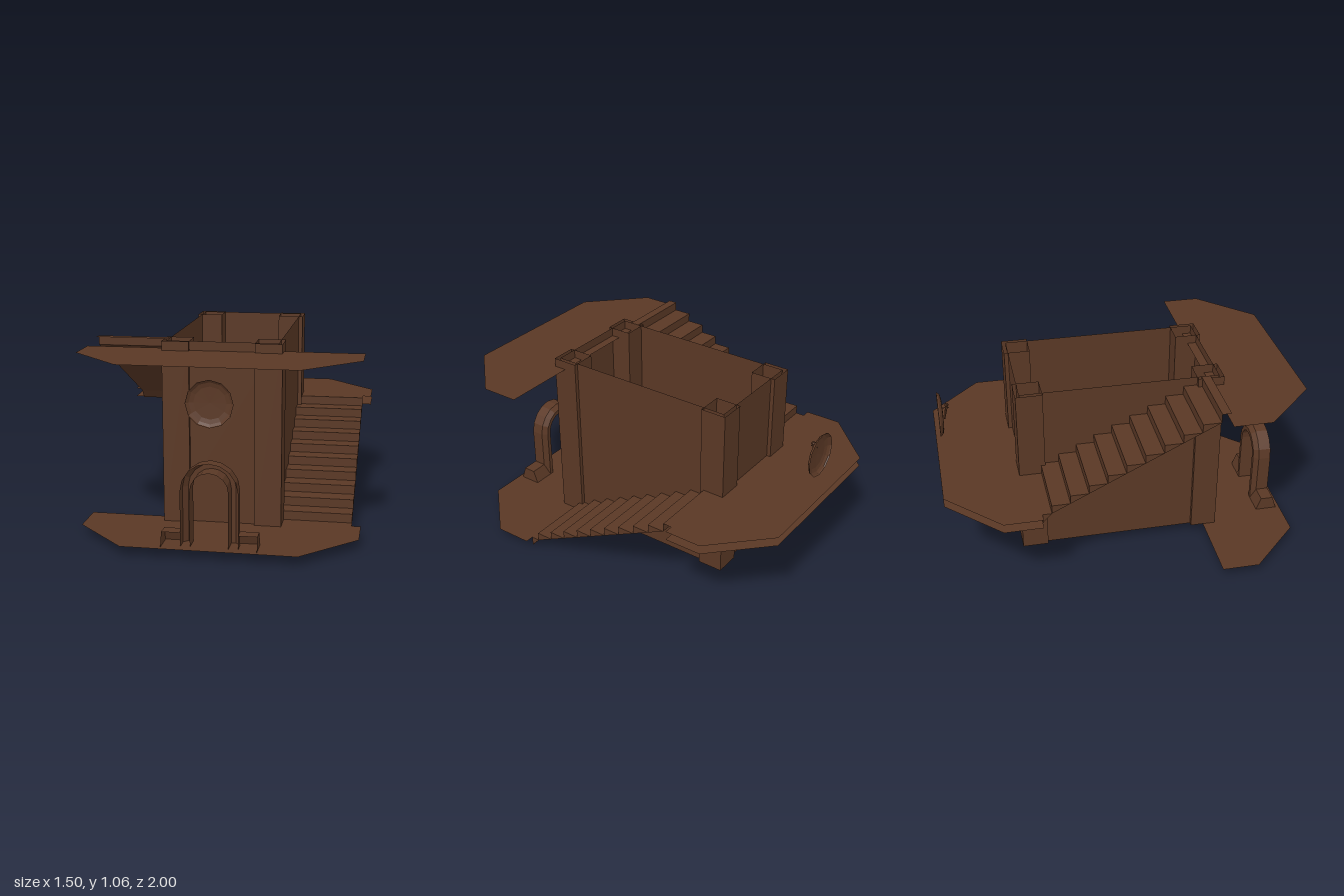
import * as THREE from 'three';
import { mergeGeometries } from 'three/addons/utils/BufferGeometryUtils.js';

const FLOOR = 0.055; // height of the ground landing
const wood = new THREE.MeshStandardMaterial({ color: 0x5a3825, side: THREE.DoubleSide, flatShading: true });
wood.name = 'dark brown wood';

function part(name, geometry, parent) {
  const mesh = new THREE.Mesh(geometry, wood);
  mesh.name = name;
  parent.add(mesh);
  return mesh;
}

// Flat landing with chamfered outer corners; side is 1 at the front, -1 at the back
function landing(y, side) {
  const shape = new THREE.Shape([
    [-0.75, 0.5], [0.75, 0.5], [0.75, 0.71], [0.46, 1], [-0.46, 1], [-0.75, 0.71],
  ].map(([x, z]) => new THREE.Vector2(x, z * -side)));
  return new THREE.ShapeGeometry(shape).rotateX(-Math.PI / 2).translate(0, y, 0);
}

// Flight of wedge-shaped steps, climbing from z = 0.5 to z = -0.5
function flight() {
  const wedges = [[[0.5, 0], [0.5, FLOOR], [0.45, FLOOR]]];
  for (let i = 0; i < 9; i++) {
    const z = 0.45 - i * 0.1, y = FLOOR + i * 0.05;
    wedges.push([[z, y], [z, y + 0.05], [z - 0.1, y + 0.05]]);
  }
  const solids = wedges.map((points) => new THREE.ExtrudeGeometry(
    new THREE.Shape(points.map(([z, y]) => new THREE.Vector2(z, y))),
    { depth: 0.4, bevelEnabled: false },
  ).rotateY(-Math.PI / 2).translate(0.7, 0, 0).deleteAttribute('uv'));
  // Last riser and half tread, open underneath
  const riser = new THREE.PlaneGeometry(0.4, 0.05).translate(0.5, FLOOR + 0.475, -0.45);
  const tread = new THREE.PlaneGeometry(0.4, 0.05).rotateX(-Math.PI / 2).translate(0.5, FLOOR + 0.5, -0.475);
  const ends = [riser, tread].map((g) => g.toNonIndexed().deleteAttribute('uv'));
  return mergeGeometries([...solids, ...ends]);
}

// Hollow arch, open to the front, swept from a cross-section of [radius, z] points
function archGeometry() {
  const section = [[0.15, 0.953], [0.15, 0.882], [0.125, 0.855], [0.1, 0.855], [0.1, 0.953]];
  const spring = 0.353, segments = 8;
  const stations = [[-1, 0, FLOOR]];
  for (let i = 0; i <= segments; i++) {
    const a = Math.PI * (1 - i / segments);
    stations.push([Math.cos(a), Math.sin(a), spring]);
  }
  stations.push([1, 0, FLOOR]);
  const positions = [], index = [], n = section.length;
  stations.forEach(([dx, dy, base], s) => {
    section.forEach(([r, z], k) => {
      positions.push(dx * r, base + dy * r, z);
      if (s && k) {
        const d = s * n + k, c = d - 1, b = d - n, a = b - 1;
        index.push(a, b, c, b, d, c);
      }
    });
  });
  const geometry = new THREE.BufferGeometry();
  geometry.setAttribute('position', new THREE.Float32BufferAttribute(positions, 3));
  geometry.setIndex(index);
  geometry.computeVertexNormals();
  return geometry;
}

// Hollow foot block flaring towards the bottom; only its top, back and outer end are closed
function footGeometry(side) {
  const geometry = new THREE.BoxGeometry(1, 1, 1);
  const p = geometry.attributes.position;
  for (let i = 0; i < p.count; i++) {
    const top = p.getY(i) > 0;
    const outer = p.getX(i) * side > 0;
    const front = p.getZ(i) > 0;
    p.setXYZ(i, side * (outer ? 0.25 : top ? 0.15 : 0.125), top ? 0.13 : FLOOR,
      front ? (top ? 0.953 : 0.978) : (top ? 0.882 : 0.855));
  }
  const all = Array.from(geometry.index.array);
  const kept = [side > 0 ? 0 : 1, 2, 5]; // outer end, top, back
  geometry.setIndex(kept.flatMap((f) => all.slice(f * 6, f * 6 + 6)));
  geometry.clearGroups();
  geometry.computeVertexNormals();
  return geometry;
}

// Round dish with a small torch on its inner side
function sconce(name) {
  const group = new THREE.Group();
  group.name = name;
  const profile = [[0.124, 0], [0.121, -0.008], [0.108, -0.018], [0.085, -0.024], [0.0001, -0.027]]
    .map(([r, y]) => new THREE.Vector2(r, y));
  part('dish', new THREE.LatheGeometry(profile, 12).rotateX(Math.PI / 2), group);
  const bracket = part('torchBracket', new THREE.CylinderGeometry(0.003, 0.003, 0.038, 6), group);
  bracket.rotation.x = Math.PI / 2;
  bracket.position.set(0, 0.04, -0.042);
  const torch = part('torchHandle', new THREE.CylinderGeometry(0.008, 0.003, 0.085, 6), group);
  torch.rotation.x = -0.2;
  torch.position.set(0, 0.009, -0.041);
  part('torchHead', new THREE.SphereGeometry(0.012, 6, 4), group).position.set(0, 0.057, -0.05);
  group.position.y = 0.805;
  return group;
}

export function createModel() {
  const model = new THREE.Group();
  model.name = 'stairTower';

  // Landings; the top one lies one step below the tower rim
  part('groundLanding', landing(FLOOR, 1), model);
  part('topLanding', landing(FLOOR + 0.95, 1), model);
  part('middleLanding', landing(FLOOR + 0.5, -1), model);
  part('middleLandingUnderside', landing(FLOOR + 0.45, -1), model);

  // Tower walls, open above and below
  const mid = FLOOR + 0.5;
  for (const s of [-1, 1]) {
    const turn = s > 0 ? 0 : Math.PI;
    part('endWall', new THREE.PlaneGeometry(0.6, 1).rotateY(turn).translate(0, mid, s * 0.55), model);
    part('sideWall', new THREE.PlaneGeometry(1.1, 1).rotateY(s * Math.PI / 2).translate(s * 0.3, mid, 0), model);
  }

  // Hollow corner pillars
  for (const sx of [-1, 1]) for (const sz of [-1, 1]) {
    const tube = new THREE.CylinderGeometry(Math.SQRT1_2, Math.SQRT1_2, 1, 4, 1, true)
      .rotateY(Math.PI / 4).scale(0.146, 1, 0.146);
    part('cornerPillar', tube.translate(sx * 0.25, mid, sz * 0.5), model);
  }

  // Two flights, the second turned half round and one storey higher
  part('lowerFlight', flight(), model);
  part('upperFlight', flight().rotateY(Math.PI).translate(0, 0.5, 0), model);

  // Doorway
  const doorway = new THREE.Group();
  doorway.name = 'doorway';
  part('arch', archGeometry(), doorway);
  for (const s of [-1, 1]) part('archFoot', footGeometry(s), doorway);
  model.add(doorway);

  // Sconces at both ends
  const front = sconce('frontSconce');
  front.position.z = 0.925;
  const back = sconce('backSconce');
  back.position.z = -0.975;
  back.rotation.y = Math.PI;
  model.add(front, back);

  return model;
}
